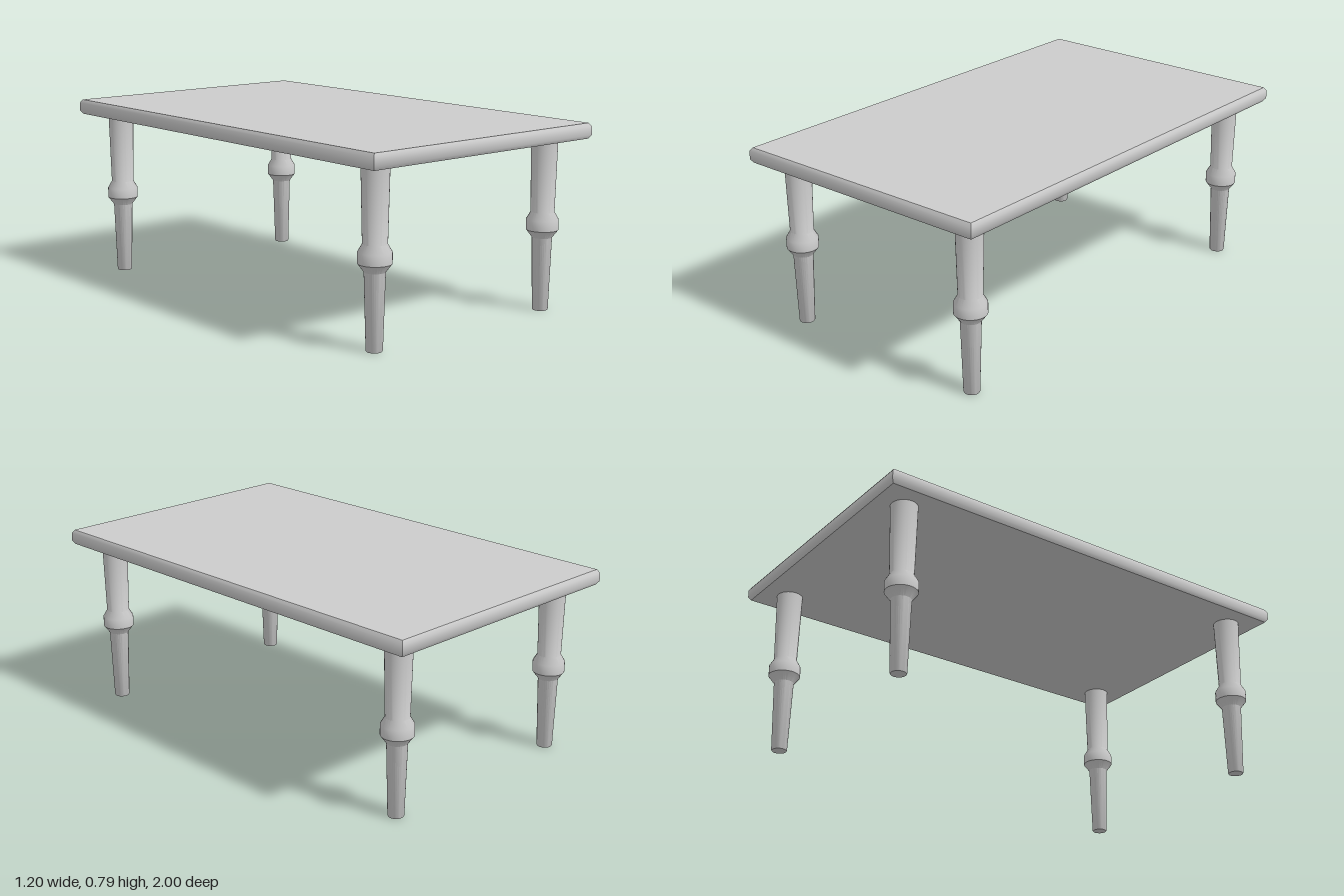
import * as THREE from 'three';
import { toCreasedNormals } from 'three/addons/utils/BufferGeometryUtils.js';

const CREASE = 0.62;

export function createModel() {
  const table = new THREE.Group();
  table.name = 'table';
  const material = new THREE.MeshStandardMaterial({ color: 0xcccccc });

  // Tabletop: a rectangular slab with bevelled rims
  const halfX = 0.6, halfZ = 1, bottom = 0.725, top = 0.79;
  const bevelIn = 0.01, bevelUp = 0.015;
  const x = halfX - bevelIn, z = halfZ - bevelIn;
  const outline = new THREE.Shape([
    new THREE.Vector2(-x, -z), new THREE.Vector2(x, -z),
    new THREE.Vector2(x, z), new THREE.Vector2(-x, z),
  ]);
  const slab = new THREE.ExtrudeGeometry(outline, {
    depth: top - bottom - 2 * bevelUp,
    bevelEnabled: true, bevelSegments: 1, bevelSize: bevelIn, bevelThickness: bevelUp,
  });
  slab.rotateX(-Math.PI / 2);
  slab.translate(0, bottom + bevelUp, 0);
  const tabletop = new THREE.Mesh(toCreasedNormals(slab, CREASE), material);
  tabletop.name = 'tabletop';
  table.add(tabletop);

  // Turned leg: tapered foot, collar, flared upper shaft (radius, height)
  const profile = [
    [0, 0], [0.031, 0], [0.033, 0.004], [0.042, 0.31], [0.067, 0.343],
    [0.067, 0.387], [0.049, 0.418], [0.056, bottom], [0, bottom],
  ].map(([r, y]) => new THREE.Vector2(r, y));
  const legGeometry = toCreasedNormals(new THREE.LatheGeometry(profile, 32), CREASE);

  // Four legs, one near each corner
  for (const [endName, sz] of [['front', 1], ['back', -1]]) {
    for (const [sideName, sx] of [['Left', 1], ['Right', -1]]) {
      const leg = new THREE.Mesh(legGeometry, material);
      leg.name = `${endName}${sideName}Leg`;
      leg.position.set(sx * 0.468, 0, sz * 0.863);
      table.add(leg);
    }
  }
  return table;
}
